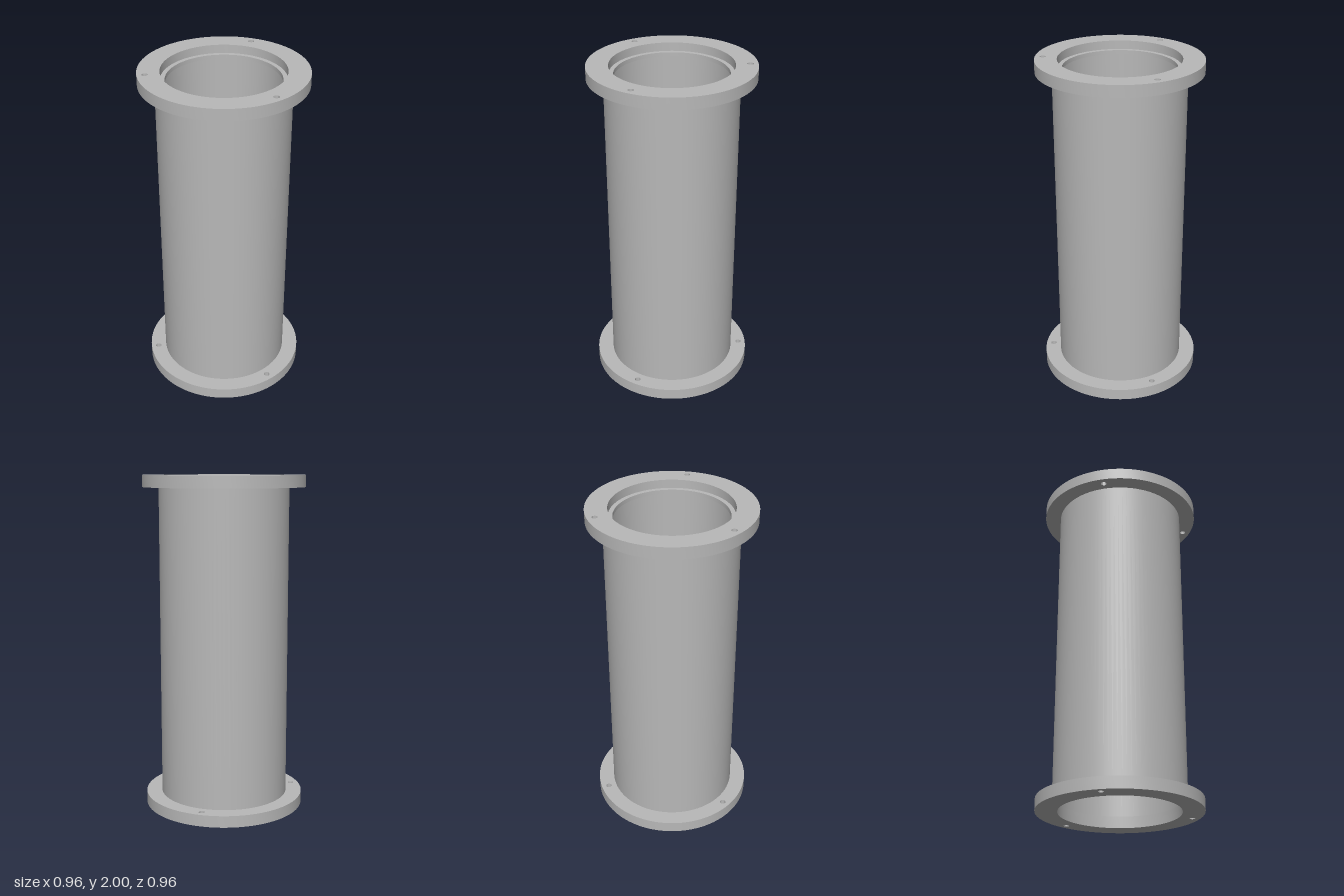
import * as THREE from 'three';
import { toCreasedNormals } from 'three/addons/utils/BufferGeometryUtils.js';

const FLANGE_R = 0.48, TUBE_R = 0.385, BORE_R = 0.353, LIP_R = 0.327;
const FLANGE_H = 0.07, HEIGHT = 2;
const BOLT_CIRCLE = 0.435, BOLT_R = 0.017;

function circlePath(x, y, r) {
  return new THREE.Path().absarc(x, y, r, 0, Math.PI * 2, true);
}

// Upright ring standing on y = 0, optionally with three bolt holes
function ringGeometry(outer, inner, height, bolted = false) {
  const shape = new THREE.Shape().absarc(0, 0, outer, 0, Math.PI * 2, false);
  shape.holes.push(circlePath(0, 0, inner));
  if (bolted) {
    for (let i = 0; i < 3; i++) {
      const a = Math.PI / 2 + (i * Math.PI * 2) / 3;
      shape.holes.push(circlePath(Math.cos(a) * BOLT_CIRCLE, Math.sin(a) * BOLT_CIRCLE, BOLT_R));
    }
  }
  const geometry = new THREE.ExtrudeGeometry(shape, { depth: height, bevelEnabled: false, curveSegments: 48 });
  geometry.rotateX(-Math.PI / 2);
  return toCreasedNormals(geometry, Math.PI / 6);
}

export function createModel() {
  const group = new THREE.Group();
  group.name = 'flangedTube';
  const metal = new THREE.MeshStandardMaterial({ color: 0xb8b8b8 });
  metal.name = 'grey metal';

  function add(name, geometry, y) {
    const mesh = new THREE.Mesh(geometry, metal);
    mesh.name = name;
    mesh.position.y = y;
    group.add(mesh);
  }

  // Matching bolted flanges at both ends
  const flange = ringGeometry(FLANGE_R, BORE_R, FLANGE_H, true);
  add('bottomFlange', flange, 0);
  add('topFlange', flange, HEIGHT - FLANGE_H);

  // Hollow body between the flanges
  add('tube', ringGeometry(TUBE_R, BORE_R, HEIGHT - 2 * FLANGE_H), FLANGE_H);

  // Thin retaining lip inside the upper bore
  add('innerLip', ringGeometry(BORE_R + 0.005, LIP_R, 0.024), HEIGHT - 0.075);

  return group;
}
